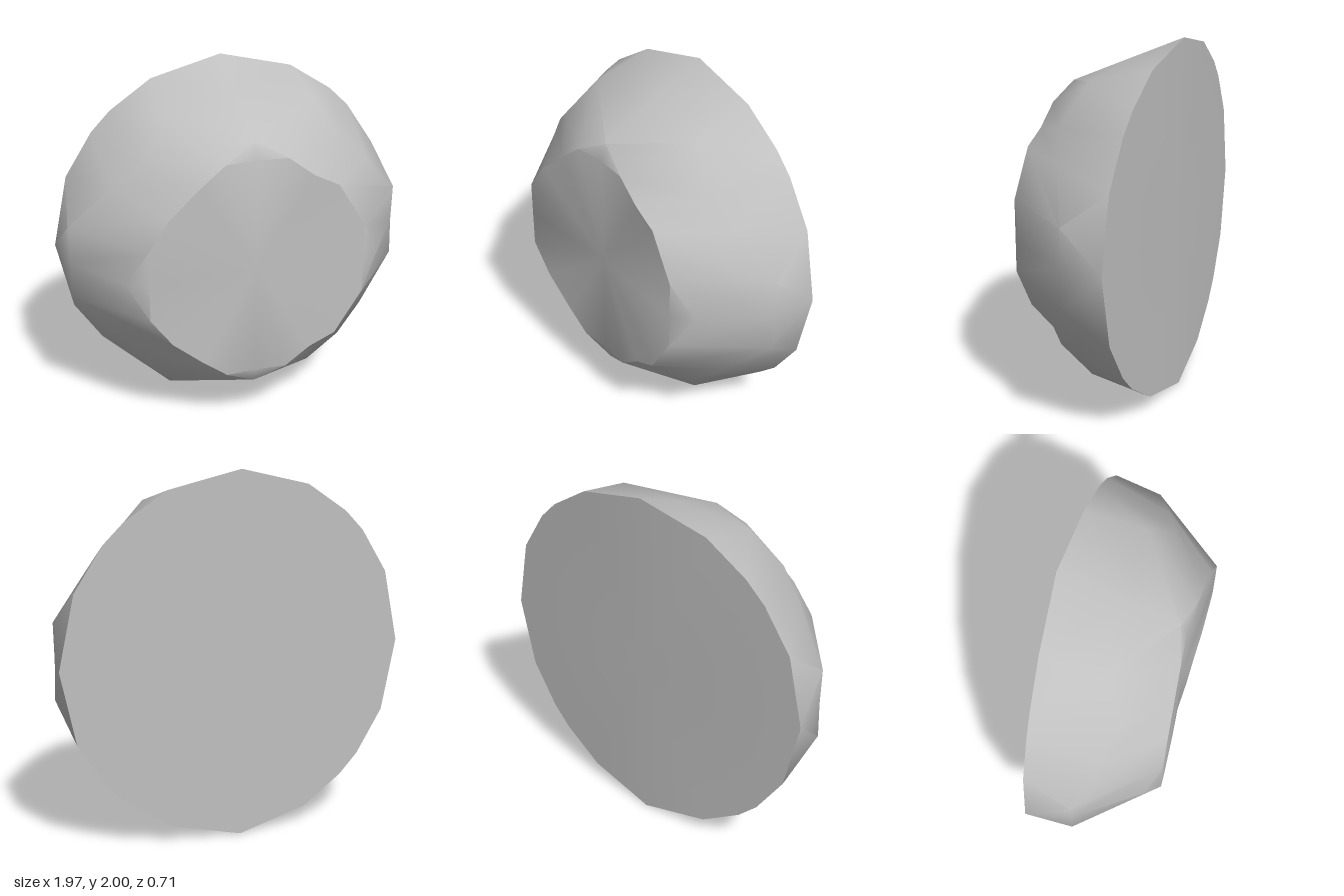
import * as THREE from 'three';
import { toCreasedNormals } from 'three/addons/utils/BufferGeometryUtils.js';

const backZ = (x) => -0.357 + 0.058 * x;
const faceZ = (x) => 0.315 + 0.068 * x;

// Quarter outlines (x, height from the centre, z), running from the top to the side
const RIM = [[0, 1], [0.4, 0.905], [0.635, 0.75], [0.745, 0.64], [0.9, 0.4], [0.985, 0]]
  .map(([x, h]) => [x, h, backZ(x)]);
const MID = [[0, 0.87, -0.06], [0.42, 0.82, 0], [0.56, 0.6, 0.12], [0.72, 0.46, 0.05],
  [0.945, 0.21, -0.06], [0.94, 0, -0.06]];

// Front face outline: one corner differs per side, and the tips bend backwards
const faceQuarter = (corner) => [[0, 0.72], [0.17, 0.63], [0.31, 0.52], corner, [0.6, 0.2], [0.715, 0]]
  .map(([x, h], i) => [x, h, i % 5 === 0 ? 0.28 : faceZ(x)]);
const FACE_RIGHT = faceQuarter([0.45, 0.45]);
const FACE_LEFT = faceQuarter([0.48, 0.37]);

// Mirrors quarter outlines into a closed ring of 20 points, clockwise from the front
function ring(right, left = right) {
  return Array.from({ length: 20 }, (_, k) => {
    const onRight = k <= 10;
    const step = k % 10;
    const i = k === 10 ? 0 : Math.min(step, 10 - step);
    const [x, h, z] = (onRight ? right : left)[i];
    const up = k <= 5 || k >= 15;
    return new THREE.Vector3(onRight ? x : -x, up ? 1 + h : 1 - h, z);
  });
}

// Skins neighbouring rings, leaving out collapsed triangles
function loft(rings) {
  const out = [];
  const tri = (a, b, c) => {
    if (new THREE.Triangle(a, b, c).getArea() > 1e-6) {
      for (const p of [a, b, c]) out.push(p.x, p.y, p.z);
    }
  };
  for (let r = 0; r < rings.length - 1; r++) {
    for (let k = 0; k < 20; k++) {
      const n = (k + 1) % 20;
      const [a, b, c, d] = [rings[r][k], rings[r][n], rings[r + 1][k], rings[r + 1][n]];
      // Swap the diagonal on alternate quarters so both halves mirror
      if (k % 10 < 5) {
        tri(a, c, b);
        tri(b, c, d);
      } else {
        tri(a, c, d);
        tri(a, d, b);
      }
    }
  }
  const geometry = new THREE.BufferGeometry();
  geometry.setAttribute('position', new THREE.Float32BufferAttribute(out, 3));
  return toCreasedNormals(geometry, THREE.MathUtils.degToRad(42));
}

export function createModel() {
  const group = new THREE.Group();
  group.name = 'facetedDome';
  const stone = new THREE.MeshStandardMaterial({ color: 0xc0c0c0 });
  stone.name = 'light grey';

  const centre = (z) => Array(20).fill(new THREE.Vector3(0, 1, z));
  const rim = ring(RIM);
  const mid = ring(MID);
  const face = ring(FACE_RIGHT, FACE_LEFT);
  // Inner ring: the face with its tips cut off
  const inner = face.map((p, k) => {
    if (k % 10 === 0) return new THREE.Vector3(0, 1 + Math.sign(p.y - 1) * 0.63, faceZ(0));
    if (k % 5 === 0) return new THREE.Vector3(Math.sign(p.x) * 0.6, 1, faceZ(0.6));
    return p;
  });

  // Shallow ridged back
  const back = new THREE.Mesh(loft([centre(backZ(0)), rim]), stone);
  back.name = 'back';
  // Bulging side wall with the front face
  const body = new THREE.Mesh(loft([rim, mid, face, inner, centre(faceZ(0))]), stone);
  body.name = 'body';
  group.add(back, body);
  return group;
}
